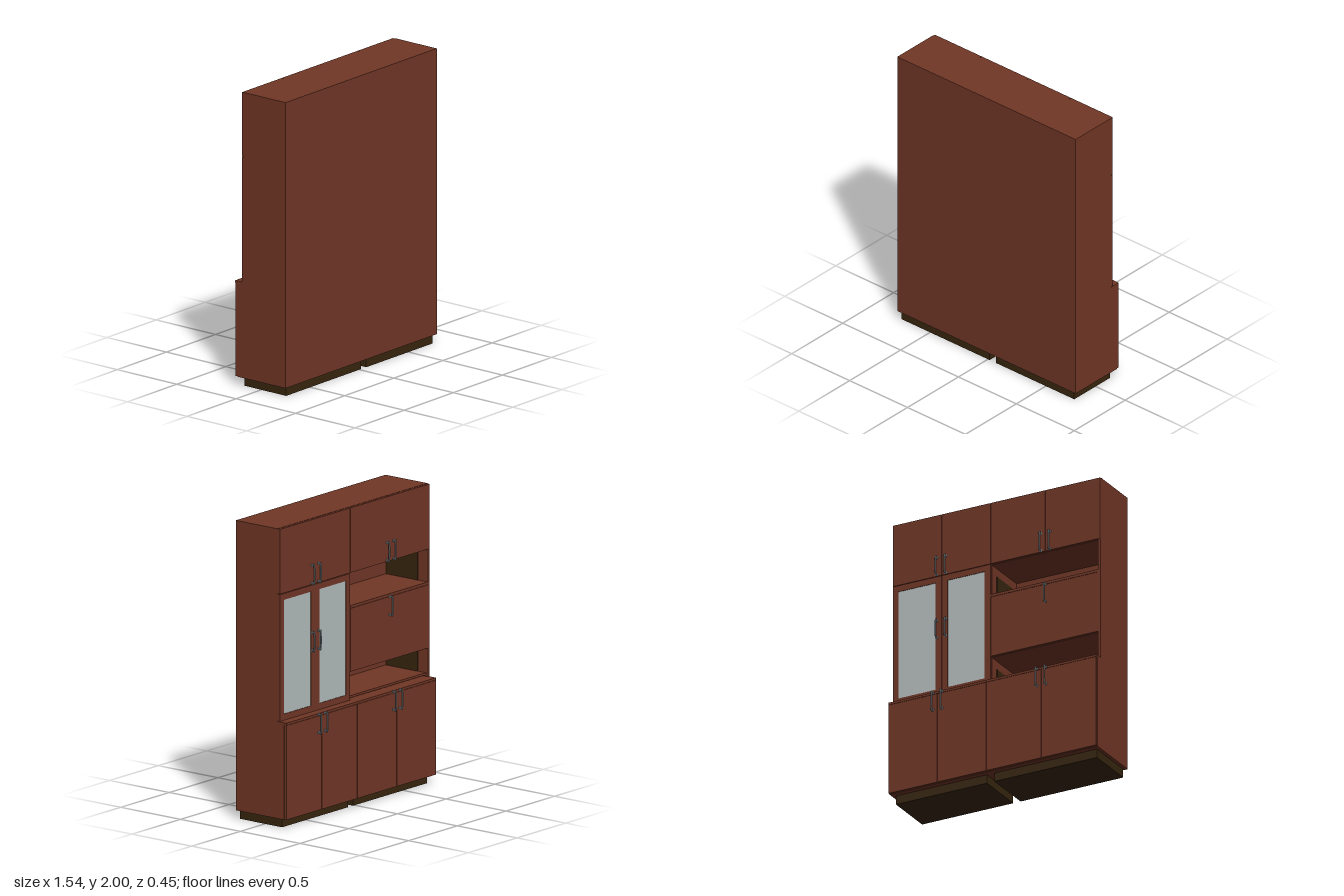
import * as THREE from 'three';

const wood = new THREE.MeshStandardMaterial({ color: 0x723726 });
wood.name = 'reddish wood';
const dark = new THREE.MeshStandardMaterial({ color: 0x38260f });
dark.name = 'dark plinth wood';
const glass = new THREE.MeshStandardMaterial({ color: 0xb6bfbe });
glass.name = 'pale glass';
const metal = new THREE.MeshStandardMaterial({ color: 0x87949a });
metal.name = 'handle metal';

// Main planes: the doors look towards -z
const L = 0.77, R = -0.77, MID = 0.043;
const BACK = 0.225, UPPER = -0.142, LOWER = -0.198, DOOR = 0.018, GAP = 0.002;
const COUNTER = 0.71, DIVIDE = 1.562, TOP = 2, BASE = 0.06;
const splitL = (MID + L) / 2, splitR = (MID + R) / 2;

export function createModel() {
  const group = new THREE.Group();

  // Box given by its limits on each axis
  const box = (name, x0, x1, y0, y1, z0, z1, mat = wood, parent = group) => {
    const m = new THREE.Mesh(new THREE.BoxGeometry(x1 - x0, y1 - y0, z1 - z0), mat);
    m.position.set((x0 + x1) / 2, (y0 + y1) / 2, (z0 + z1) / 2);
    m.name = name;
    parent.add(m);
    return m;
  };

  // Door leaf with a small seam all around
  const door = (name, x0, x1, y0, y1, front) =>
    box(name, x0 + GAP, x1 - GAP, y0 + GAP, y1 - GAP, front, front + DOOR);

  // Slim bow handle: two feet, two posts and a slightly bent grip
  const handle = (x, y0, y1, front) => {
    const h = new THREE.Group();
    h.name = 'handle';
    for (const y of [y0 + 0.008, y1 - 0.008]) {
      box('handlePost', x - 0.004, x + 0.004, y - 0.004, y + 0.004, front - 0.023, front, metal, h);
      box('handleFoot', x - 0.008, x + 0.008, y - 0.008, y + 0.008, front - 0.004, front, metal, h);
    }
    const mid = (y0 + y1) / 2, z = front - 0.022;
    const path = new THREE.CatmullRomCurve3([
      new THREE.Vector3(x, y0, z + 0.003), new THREE.Vector3(x, y0 + 0.02, z),
      new THREE.Vector3(x, mid, z - 0.001),
      new THREE.Vector3(x, y1 - 0.02, z), new THREE.Vector3(x, y1, z + 0.003)
    ]);
    const grip = new THREE.Mesh(new THREE.TubeGeometry(path, 12, 0.005, 8), metal);
    grip.name = 'handleGrip';
    h.add(grip);
    group.add(h);
  };

  // Plinths
  box('plinthLeft', 0.07, 0.745, 0, BASE, -0.142, 0.21, dark);
  box('plinthRight', -0.745, 0.015, 0, BASE, -0.142, 0.21, dark);

  // Carcass
  const inU = UPPER + DOOR, inL = LOWER + DOOR;
  box('backPanel', R, L, BASE, TOP, 0.205, BACK);
  box('lowerCabinet', R, L, BASE, COUNTER - 0.015, inL, 0.205);
  box('counterTop', R, L, COUNTER - 0.015, COUNTER, LOWER, 0.205);
  box('upperCabinet', R, L, DIVIDE, TOP, inU, 0.205);
  box('glassCabinet', MID, L, COUNTER, DIVIDE, inU, 0.205);
  box('sidePanelRight', R, R + 0.018, COUNTER, DIVIDE, UPPER, 0.205);
  box('barCabinet', R + 0.018, MID, 0.90, 1.327, inU, 0.205);
  box('nicheShelf', R + 0.018, MID, 1.327, 1.345, UPPER, 0.205);
  box('nicheFloor', R + 0.018, MID, COUNTER + 0.01, COUNTER + 0.025, -0.125, 0.205);

  // Dark lining at the rear of the open niches
  for (const [y0, y1] of [[COUNTER + 0.025, 0.90], [1.345, DIVIDE]]) {
    box('nicheLining', MID - 0.004, MID, y0, y1 - 0.06, -0.06, 0.205, dark);
    box('nicheLining', R + 0.018, R + 0.022, y0, y1, -0.06, 0.205, dark);
  }

  // Paired doors and their handles
  for (const [x0, split, x1] of [[MID, splitL, L], [R, splitR, MID]]) {
    for (const [a, b, side] of [[x0, split, -1], [split, x1, 1]]) {
      door('lowerDoor', a, b, BASE, COUNTER - 0.015, LOWER);
      door('upperDoor', a, b, DIVIDE, TOP, UPPER);
      handle(split + side * 0.033, 0.575, 0.712, LOWER);
      handle(split + side * 0.033, 1.565, 1.702, UPPER);
    }
  }

  // Glazed doors: frame with a pane set slightly back
  for (const [a, b, side] of [[MID, splitL, -1], [splitL, L, 1]]) {
    const x0 = a + GAP, x1 = b - GAP, y0 = COUNTER + GAP, y1 = DIVIDE - GAP, f = 0.042;
    const s = new THREE.Shape();
    s.moveTo(x0, y0).lineTo(x1, y0).lineTo(x1, y1).lineTo(x0, y1).closePath();
    const hole = new THREE.Path();
    hole.moveTo(x0 + f, y0 + f).lineTo(x0 + f, y1 - f).lineTo(x1 - f, y1 - f).lineTo(x1 - f, y0 + f).closePath();
    s.holes.push(hole);
    const frame = new THREE.Mesh(new THREE.ExtrudeGeometry(s, { depth: DOOR, bevelEnabled: false }), wood);
    frame.position.z = UPPER;
    frame.name = 'glassDoorFrame';
    group.add(frame);
    box('glassPane', x0 + f, x1 - f, y0 + f, y1 - f, UPPER + 0.004, UPPER + 0.01, glass);
    handle(splitL + side * 0.033, 1.115, 1.252, UPPER);
  }

  // Drop-down door
  door('dropDoor', R + 0.004, MID, 0.90, 1.327, UPPER);
  handle(splitR, 1.195, 1.332, UPPER);

  return group;
}
